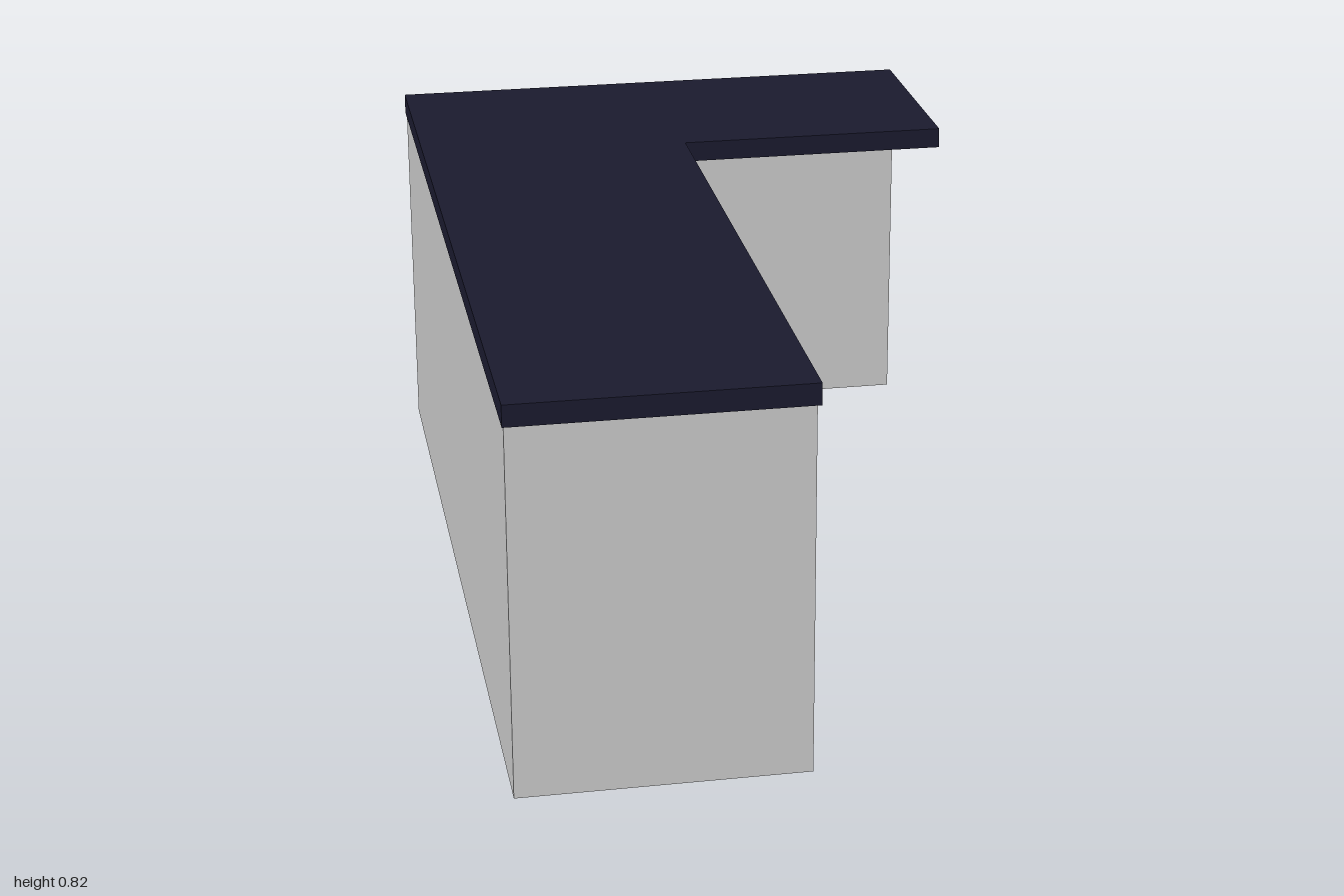
import * as THREE from 'three';

const grey = new THREE.MeshStandardMaterial({ color: 0xcccccc });
const dark = new THREE.MeshStandardMaterial({ color: 0x1a1a2e });

// Box given by its minimum and maximum corners
function panel(name, [x0, y0, z0], [x1, y1, z1]) {
  const mesh = new THREE.Mesh(new THREE.BoxGeometry(x1 - x0, y1 - y0, z1 - z0), grey);
  mesh.position.set((x0 + x1) / 2, (y0 + y1) / 2, (z0 + z1) / 2);
  mesh.name = name;
  return mesh;
}

function polygon(points, Type = THREE.Shape) {
  return new Type(points.map(([x, y]) => new THREE.Vector2(x, y)));
}

export function createModel() {
  const desk = new THREE.Group();
  desk.name = 'cornerDesk';
  const bodyHeight = 0.775, inner = -0.551;

  // L-shaped worktop, drawn in plan (x, -z) and extruded upwards
  const plan = polygon([[-0.6, -1], [0, -1], [0, 0.5], [0.6, 0.5], [0.6, 1], [-0.6, 1]]);
  const topGeometry = new THREE.ExtrudeGeometry(plan, { depth: 0.82 - bodyHeight, bevelEnabled: false });
  topGeometry.rotateX(-Math.PI / 2);
  const top = new THREE.Mesh(topGeometry, dark);
  top.name = 'worktop';
  top.position.y = bodyHeight;
  desk.add(top);

  // Long side panel and back panel meeting in the corner
  desk.add(panel('sidePanel', [-0.597, 0, -0.995], [inner, bodyHeight, 0.997]));
  desk.add(panel('backPanel', [inner, 0, -0.995], [0.597, bodyHeight, -0.948]));

  // Shelf cabinet: face outline in (-z, y) with four openings, extruded along x
  const face = polygon([[-0.997, 0], [-0.533, 0], [-0.533, bodyHeight], [-0.997, bodyHeight]]);
  for (let i = 0; i < 4; i++) {
    const y0 = 0.02 + i * 0.194, y1 = y0 + 0.158;
    face.holes.push(polygon([[-0.98, y0], [-0.98, y1], [-0.552, y1], [-0.552, y0]], THREE.Path));
  }
  const cabinetGeometry = new THREE.ExtrudeGeometry(face, { depth: -0.008 - inner, bevelEnabled: false });
  cabinetGeometry.rotateY(Math.PI / 2);
  const cabinet = new THREE.Mesh(cabinetGeometry, grey);
  cabinet.name = 'shelfCabinet';
  cabinet.position.x = inner;
  desk.add(cabinet);

  return desk;
}
